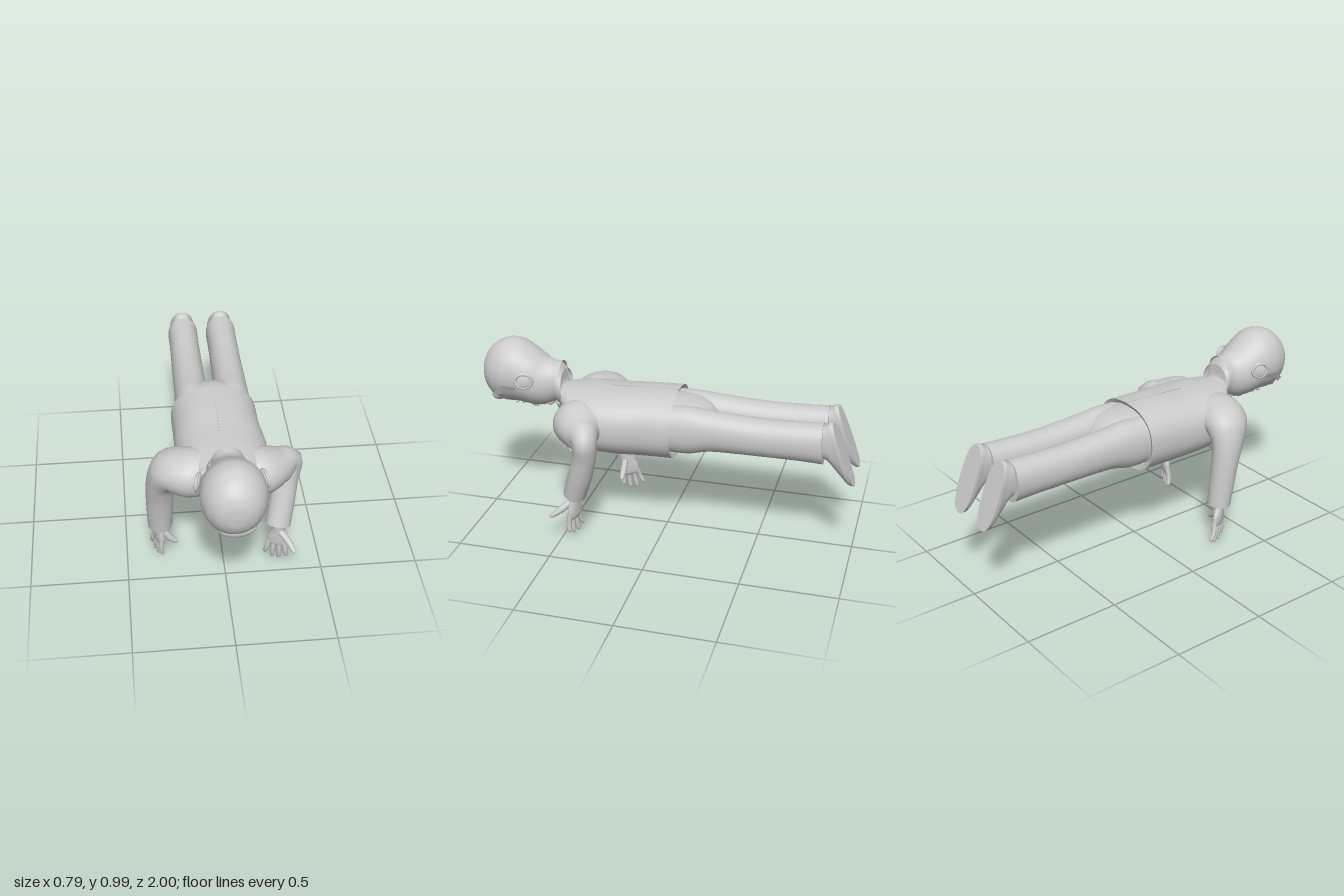
import * as THREE from 'three';

const grey = new THREE.MeshStandardMaterial({ color: 0xcccccc, side: THREE.DoubleSide });
grey.name = 'plain light grey';

function add(parent, name, geometry, pos = [0, 0, 0], scale = [1, 1, 1], rot = [0, 0, 0]) {
  const m = new THREE.Mesh(geometry, grey);
  m.name = name;
  m.position.set(...pos);
  m.scale.set(...scale);
  m.rotation.set(...rot);
  parent.add(m);
  return m;
}
const ball = (parent, name, pos, radii, rot) =>
  add(parent, name, new THREE.SphereGeometry(1, 20, 14), pos, radii, rot);

// Smooth skin through oval rings [x, y, z, halfWidth, halfHeight, zLean].
// bend: rings turn with the path (arms, fingers); otherwise they stand across z.
function loft(rows, { bend = false, steps = 5, sides = 28, power = 1, capEnd = false } = {}) {
  const curve = (k) => new THREE.CatmullRomCurve3(
    rows.map((r) => new THREE.Vector3(r[k], r[k + 1], r[k + 2] ?? 0)), false, 'catmullrom', 0.4);
  const path = curve(0), size = curve(3);
  const n = (rows.length - 1) * steps;
  const pos = [], idx = [];
  const p = (v) => Math.sign(v) * Math.abs(v) ** power;
  for (let i = 0; i <= n; i++) {
    const c = path.getPoint(i / n), s = size.getPoint(i / n);
    let U = new THREE.Vector3(1, 0, 0), V = new THREE.Vector3(0, 1, s.z / Math.max(s.y, 0.001));
    if (bend) {
      const T = path.getTangent(i / n);
      U = new THREE.Vector3(0, 0, 1).addScaledVector(T, -T.z).normalize();
      V = T.clone().cross(U);
    }
    for (let j = 0; j < sides; j++) {
      const t = (j / sides) * Math.PI * 2;
      c.clone().addScaledVector(U, s.x * p(Math.cos(t))).addScaledVector(V, s.y * p(Math.sin(t)))
        .toArray(pos, pos.length);
    }
  }
  for (let i = 0; i < n; i++) for (let j = 0; j < sides; j++) {
    const a = i * sides + j, b = i * sides + (j + 1) % sides;
    idx.push(a, b, a + sides, b, b + sides, a + sides);
  }
  if (capEnd) { // flat end with its own corners, so its edge stays sharp
    const first = pos.length / 3;
    pos.push(...pos.slice(n * sides * 3));
    for (let j = 1; j < sides - 1; j++) idx.push(first, first + j, first + j + 1);
  }
  const g = new THREE.BufferGeometry();
  g.setAttribute('position', new THREE.Float32BufferAttribute(pos, 3));
  g.setIndex(idx);
  g.computeVertexNormals();
  return g;
}

// Thin strip between two edge lines
function strip(a, b) {
  const pos = [], idx = [];
  a.forEach((q, i) => pos.push(...q, ...b[i]));
  for (let i = 0; i < a.length - 1; i++) {
    const k = i * 2;
    idx.push(k, k + 1, k + 2, k + 1, k + 3, k + 2);
  }
  const g = new THREE.BufferGeometry();
  g.setAttribute('position', new THREE.Float32BufferAttribute(pos, 3));
  g.setIndex(idx);
  g.computeVertexNormals();
  return g;
}

// Hand hangs down -y from the wrist, thumb on local +x
function hand(name, wrist, turn, thumbTip, drift) {
  const g = new THREE.Group();
  g.name = name;
  g.position.set(...wrist);
  g.rotation.y = turn;
  add(g, 'palm', loft([[0, 0.03, 0, 0.028, 0.033], [0, -0.03, 0, 0.024, 0.034],
    [drift * 0.3, -0.08, 0, 0.022, 0.05], [drift * 0.5, -0.12, 0, 0.018, 0.052],
    [drift * 0.6, -0.138, 0, 0.008, 0.045]], { bend: true, sides: 18 }));
  [0.2, 0.222, 0.222, 0.205].forEach((len, i) => {
    const k = i - 1.5, x0 = drift * 0.5 + k * 0.026, x1 = drift + k * 0.037;
    add(g, 'finger', loft([[x0, -0.1, 0, 0.014, 0.014], [(x0 + x1) / 2, -0.155, 0.005, 0.013, 0.013],
      [x1, -len + 0.012, 0, 0.011, 0.011], [x1, -len, -0.002, 0.003, 0.003]],
      { bend: true, sides: 10, steps: 3 }));
  });
  const [tx, ty, tz] = thumbTip;
  add(g, 'thumb', loft([[0.012, -0.035, tz * 0.1, 0.018, 0.018], [tx * 0.6, ty * 0.66, tz * 0.5, 0.018, 0.018],
    [tx * 0.93, ty * 0.93, tz * 0.93, 0.012, 0.012], [tx, ty, tz, 0.003, 0.003]],
    { bend: true, sides: 10, steps: 4 }));
  return g;
}

export function createModel() {
  const model = new THREE.Group();
  model.name = 'manInSuitPushUp';

  // Head, face down, crown towards +z
  const head = new THREE.Group();
  head.name = 'head';
  model.add(head);
  add(head, 'skullAndNeck', loft([[0, 0.79, 0.57, 0.08, 0.095], [0, 0.77, 0.615, 0.092, 0.112],
    [0, 0.768, 0.66, 0.115, 0.13], [0, 0.787, 0.72, 0.138, 0.155], [0, 0.815, 0.8, 0.154, 0.17],
    [0, 0.815, 0.87, 0.155, 0.172], [0, 0.81, 0.93, 0.134, 0.15], [0, 0.81, 0.972, 0.098, 0.107],
    [0, 0.81, 0.993, 0.055, 0.06], [0, 0.81, 1, 0.002, 0.002]], { sides: 36 }));
  ball(head, 'nose', [0, 0.635, 0.728], [0.02, 0.024, 0.026]);
  ball(head, 'noseBridge', [0, 0.645, 0.755], [0.012, 0.016, 0.04]);
  ball(head, 'upperLip', [0, 0.638, 0.69], [0.035, 0.009, 0.008]);
  ball(head, 'lowerLip', [0, 0.64, 0.674], [0.03, 0.009, 0.008]);
  ball(head, 'chin', [0, 0.655, 0.64], [0.045, 0.02, 0.025]);
  ball(head, 'forelock', [0.01, 0.685, 0.915], [0.09, 0.042, 0.045], [0.3, 0, 0.1]);
  for (const s of [-1, 1]) {
    ball(head, 'eye', [s * 0.05, 0.658, 0.775], [0.021, 0.012, 0.014]);
    ball(head, 'eyebrow', [s * 0.053, 0.661, 0.81], [0.034, 0.012, 0.009], [0, s * 0.15, 0]);
    ball(head, 'ear', [s * 0.152, 0.815, 0.73], [0.013, 0.038, 0.046], [0.4, s * 0.3, 0]);
    add(head, 'earRim', new THREE.TorusGeometry(0.038, 0.008, 8, 24), [s * 0.156, 0.815, 0.732],
      [1.15, 1, 1], [0, Math.PI / 2 + s * 0.3, 0]);
    add(head, 'hairEdge', strip(
      [[s * 0.147, 0.755, 0.78], [s * 0.148, 0.75, 0.84], [s * 0.125, 0.7, 0.9]],
      [[s * 0.158, 0.775, 0.78], [s * 0.162, 0.78, 0.85], [s * 0.13, 0.72, 0.92]]));
  }

  // Shirt and collar
  add(model, 'shirt', loft([[0, 0.61, 0.4, 0.15, 0.14, 0.06], [0, 0.645, 0.49, 0.12, 0.115, 0.055],
    [0, 0.69, 0.545, 0.095, 0.09, 0.02], [0, 0.75, 0.575, 0.085, 0.1, 0]]));
  add(model, 'shirtCollar', loft([[0, 0.745, 0.55, 0.1, 0.095, 0.01], [0, 0.765, 0.585, 0.093, 0.112, 0]]));
  for (const s of [-1, 1]) {
    add(model, 'collarWing', strip(
      [[s * 0.005, 0.645, 0.58], [s * 0.06, 0.655, 0.585], [s * 0.1, 0.7, 0.58]],
      [[s * 0.04, 0.605, 0.56], [s * 0.075, 0.62, 0.56], [s * 0.11, 0.68, 0.555]]));
  }

  // Jacket
  const jacket = new THREE.Group();
  jacket.name = 'jacket';
  model.add(jacket);
  add(jacket, 'jacketBody', loft([[-0.01, 0.612, -0.06, 0.222, 0.178, 0], [-0.008, 0.608, 0.1, 0.222, 0.178, 0],
    [0, 0.603, 0.25, 0.232, 0.173, 0], [0, 0.604, 0.38, 0.23, 0.168, 0.02],
    [0, 0.607, 0.45, 0.2, 0.157, 0.06], [0, 0.613, 0.485, 0.155, 0.145, 0.075]], { power: 0.85, sides: 40 }));
  add(jacket, 'hemEdge', loft([[-0.01, 0.612, -0.06, 0.222, 0.178, 0], [-0.008, 0.615, -0.05, 0.2, 0.155, 0]],
    { power: 0.85, sides: 40, steps: 1 }));
  add(jacket, 'backSeam', new THREE.BoxGeometry(0.007, 0.006, 0.36), [-0.01, 0.784, 0.12], [1, 1, 1], [0.035, 0, 0]);
  for (const s of [-1, 1]) {
    add(jacket, 'lapel', strip(
      [[s * 0.11, 0.72, 0.55], [s * 0.18, 0.59, 0.51], [s * 0.12, 0.485, 0.455], [0, 0.432, 0.37]],
      [[s * 0.095, 0.68, 0.56], [s * 0.115, 0.57, 0.515], [s * 0.075, 0.495, 0.465], [0, 0.455, 0.41]]));
    for (const z of [0.05, 0.17]) {
      add(jacket, 'button', new THREE.CylinderGeometry(0.02, 0.02, 0.016, 16), [s * 0.055, 0.432, z]);
    }
  }

  // Sleeves and hands: left elbow swung out, right arm straight down
  add(jacket, 'leftSleeve', loft([[0.05, 0.62, 0.44, 0.1, 0.11], [0.17, 0.62, 0.43, 0.135, 0.12],
    [0.26, 0.612, 0.39, 0.105, 0.095], [0.325, 0.6, 0.35, 0.065, 0.075], [0.317, 0.5, 0.358, 0.062, 0.064],
    [0.298, 0.38, 0.39, 0.063, 0.065], [0.275, 0.26, 0.43, 0.06, 0.065]], { bend: true }));
  add(jacket, 'rightSleeve', loft([[-0.05, 0.63, 0.44, 0.1, 0.11], [-0.17, 0.635, 0.43, 0.135, 0.12],
    [-0.265, 0.63, 0.4, 0.12, 0.1], [-0.312, 0.55, 0.375, 0.088, 0.073], [-0.32, 0.42, 0.35, 0.07, 0.07],
    [-0.322, 0.21, 0.32, 0.06, 0.063]], { bend: true }));
  model.add(hand('leftHand', [0.278, 0.255, 0.435], -0.35, [0.108, -0.11, 0.075], -0.01));
  model.add(hand('rightHand', [-0.325, 0.222, 0.325], -1.15, [0.045, -0.135, -0.075], -0.035));

  // Flower on the left lapel
  const flower = new THREE.Group();
  flower.name = 'flower';
  flower.position.set(0.115, 0.462, 0.465);
  flower.rotation.x = 0.65;
  model.add(flower);
  for (let ring = 0; ring < 3; ring++) for (let i = 0; i < 6; i++) {
    const t = (i + ring * 0.5) * Math.PI / 3, r = 0.042 - ring * 0.014;
    const petal = new THREE.Group();
    petal.name = 'petal';
    petal.rotation.z = t;
    flower.add(petal);
    add(petal, 'petalBlade', new THREE.SphereGeometry(1, 8, 6), [r, 0, ring * 0.014],
      [0.025, 0.024, 0.005], [0, -0.4 - ring * 0.35, 0]);
  }

  // Trousers and shoes
  add(model, 'hips', loft([[-0.005, 0.62, 0.02, 0.2, 0.135], [-0.005, 0.622, -0.08, 0.2, 0.133],
    [-0.005, 0.625, -0.17, 0.188, 0.118], [-0.005, 0.63, -0.23, 0.12, 0.085],
    [-0.005, 0.63, -0.265, 0.05, 0.05]], { power: 0.9 }));
  for (const s of [-1, 1]) {
    const x = s * 0.108 - 0.006;
    add(model, 'trouserLeg', loft([[x, 0.62, -0.04, 0.093, 0.125], [x, 0.622, -0.15, 0.09, 0.125],
      [x, 0.63, -0.27, 0.087, 0.106], [x, 0.627, -0.5, 0.084, 0.098], [x, 0.63, -0.7, 0.082, 0.1],
      [x, 0.632, -0.83, 0.083, 0.106, 0.006]], { power: 0.9, capEnd: true }));
    add(model, 'shoe', loft([[x, 0.645, -0.79, 0.055, 0.08, 0.01], [x, 0.64, -0.84, 0.057, 0.092, 0.015],
      [x, 0.613, -0.885, 0.062, 0.135, 0.035], [x, 0.588, -0.915, 0.068, 0.162, 0.055],
      [x, 0.585, -0.935, 0.07, 0.165, 0.065]], { power: 0.8, capEnd: true }));
  }
  return model;
}
